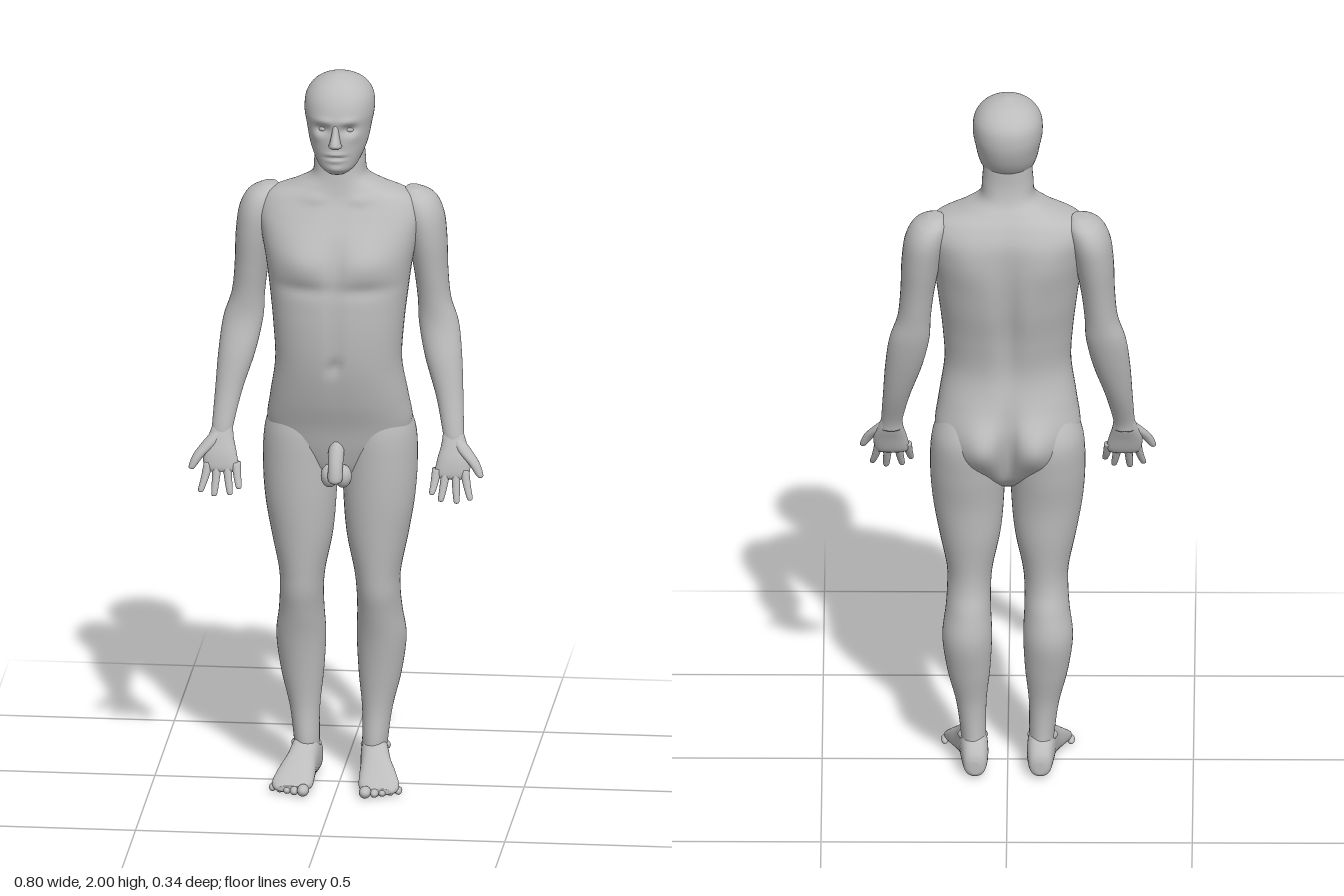
import * as THREE from 'three';

const skin = new THREE.MeshStandardMaterial({ color: 0xbcbcbc });
skin.name = 'plain grey';

const catmull = (a, b, c, d, u) =>
  0.5 * (2 * b + (c - a) * u + (2 * a - 5 * b + 4 * c - d) * u * u + (3 * b - a - 3 * c + d) * u * u * u);

// Smooth skin through rows [t, centre x, half width, depth max, depth min].
// Bumps [|x|, t, spread x, spread t, amount, side] push the depth in or out.
function loft(rows, { along = 'y', seg = 40, steps = 6, power = 2, bumps = [] } = {}) {
  const pos = [], idx = [], rings = [];
  for (let i = 0; i < rows.length - 1; i++) {
    const at = k => rows[Math.min(rows.length - 1, Math.max(0, i + k))];
    const last = i === rows.length - 2 ? 1 : 0;
    for (let s = 0; s < steps + last; s++) {
      rings.push(rows[0].map((_, c) => catmull(at(-1)[c], at(0)[c], at(1)[c], at(2)[c], s / steps)));
    }
  }
  const put = (x, d, t) => (along === 'y' ? pos.push(x, t, d) : pos.push(x, d, t));
  const shape = v => Math.sign(v) * Math.pow(Math.abs(v), 2 / power);
  for (const [t, cx, rx, hi, lo] of rings) {
    for (let j = 0; j < seg; j++) {
      const a = (j / seg) * Math.PI * 2, sn = Math.sin(a);
      const x = cx + rx * shape(Math.cos(a));
      let d = (hi + lo) / 2 + ((hi - lo) / 2) * shape(sn);
      for (const [bx, bt, sx, st, amount, side] of bumps) {
        const g = Math.exp(-(((Math.abs(x) - bx) / sx) ** 2) - ((t - bt) / st) ** 2);
        d += side * amount * g * Math.min(1, Math.max(0, side * sn * 2));
      }
      put(x, d, t);
    }
  }
  const n = rings.length;
  for (let i = 0; i < n - 1; i++) {
    for (let j = 0; j < seg; j++) {
      const a = i * seg + j, b = i * seg + ((j + 1) % seg);
      idx.push(a, a + seg, b, b, a + seg, b + seg);
    }
  }
  // Closed ends
  for (const i of [0, n - 1]) {
    const [t, cx, , hi, lo] = rings[i], c = pos.length / 3;
    put(cx, (hi + lo) / 2, t);
    for (let j = 0; j < seg; j++) {
      const a = i * seg + j, b = i * seg + ((j + 1) % seg);
      i === 0 ? idx.push(c, a, b) : idx.push(c, b, a);
    }
  }
  if (along !== 'y') idx.reverse();
  const g = new THREE.BufferGeometry();
  g.setAttribute('position', new THREE.Float32BufferAttribute(pos, 3));
  g.setIndex(idx);
  g.computeVertexNormals();
  return g;
}

function mirrored(geometry) {
  const g = geometry.clone();
  const p = g.attributes.position;
  for (let i = 0; i < p.count; i++) p.setX(i, -p.getX(i));
  g.setIndex(Array.from(g.index.array).reverse());
  g.computeVertexNormals();
  return g;
}

function ellipsoid(x, y, z, rx, ry, rz) {
  return new THREE.SphereGeometry(1, 20, 14).scale(rx, ry, rz).translate(x, y, z);
}

export function createModel() {
  const model = new THREE.Group();
  model.name = 'figure';
  const add = (name, geometry) => {
    const m = new THREE.Mesh(geometry, skin);
    m.name = name;
    model.add(m);
  };
  const pair = (name, geometry) => {
    add('left' + name, geometry);
    add('right' + name, mirrored(geometry));
  };

  // Torso and neck
  add('torso', loft([
    [0.85, 0, 0.03, 0.03, -0.06], [0.89, 0, 0.1, 0.06, -0.1], [0.95, 0, 0.175, 0.08, -0.125],
    [1.02, 0, 0.196, 0.098, -0.13], [1.1, 0, 0.186, 0.125, -0.12], [1.2, 0, 0.171, 0.148, -0.105],
    [1.3, 0, 0.176, 0.156, -0.118], [1.4, 0, 0.187, 0.153, -0.14], [1.48, 0, 0.198, 0.148, -0.15],
    [1.55, 0, 0.212, 0.125, -0.152], [1.61, 0, 0.22, 0.092, -0.148], [1.655, 0, 0.195, 0.068, -0.13],
    [1.685, 0, 0.125, 0.06, -0.11], [1.715, 0, 0.077, 0.055, -0.09], [1.76, 0, 0.069, 0.05, -0.08],
    [1.82, 0, 0.065, 0.05, -0.08],
  ], {
    seg: 72, steps: 8, power: 2.3, bumps: [
      [0.09, 1.5, 0.065, 0.05, 0.014, 1], [0, 1.5, 0.02, 0.08, -0.01, 1],   // chest
      [0.08, 1.425, 0.08, 0.02, -0.007, 1], [0, 1.3, 0.015, 0.13, -0.006, 1],
      [0, 1.21, 0.013, 0.02, -0.012, 1],                                    // navel
      [0.075, 1.0, 0.06, 0.075, 0.042, -1], [0, 0.98, 0.018, 0.09, -0.03, -1], // buttocks
      [0, 1.38, 0.028, 0.2, -0.022, -1], [0.11, 1.55, 0.06, 0.08, 0.01, -1],   // spine, shoulder blades
      [0.06, 1.66, 0.03, 0.015, 0.006, 1],                                  // collarbones
    ],
  }));

  // Head and face
  add('head', loft([
    [1.738, 0, 0.026, 0.088, 0.02], [1.755, 0, 0.048, 0.102, -0.01], [1.785, 0, 0.066, 0.107, -0.06],
    [1.82, 0, 0.079, 0.109, -0.092], [1.86, 0, 0.087, 0.11, -0.112], [1.9, 0, 0.094, 0.11, -0.121],
    [1.94, 0, 0.091, 0.097, -0.117], [1.97, 0, 0.073, 0.074, -0.095], [1.99, 0, 0.043, 0.042, -0.057],
    [2, 0, 0.008, 0.005, -0.012],
  ], {
    seg: 72, steps: 8, power: 2.15, bumps: [
      [0.036, 1.868, 0.018, 0.013, -0.014, 1], [0.03, 1.892, 0.028, 0.01, 0.005, 1], // eyes, brow
      [0.055, 1.845, 0.015, 0.015, 0.004, 1],                                  // cheeks
      [0, 1.8, 0.024, 0.006, 0.006, 1], [0, 1.79, 0.025, 0.003, -0.006, 1],    // lips
      [0, 1.781, 0.02, 0.006, 0.005, 1], [0, 1.757, 0.022, 0.012, 0.006, 1],   // chin
    ],
  }));
  add('nose', loft([
    [1.817, 0, 0.01, 0.12, 0.095], [1.825, 0, 0.018, 0.138, 0.09], [1.835, 0, 0.015, 0.142, 0.09],
    [1.86, 0, 0.01, 0.124, 0.09], [1.885, 0, 0.008, 0.11, 0.085],
  ], { seg: 20 }));
  pair('Eye', ellipsoid(0.034, 1.866, 0.083, 0.014, 0.009, 0.011));

  // Arms
  pair('Arm', loft([
    [0.975, 0.315, 0.028, 0.066, 0.022], [1.01, 0.312, 0.029, 0.063, 0.012], [1.1, 0.299, 0.037, 0.042, -0.03],
    [1.2, 0.28, 0.05, 0.024, -0.066], [1.29, 0.265, 0.054, 0.002, -0.09], [1.36, 0.252, 0.045, 0.002, -0.1],
    [1.44, 0.243, 0.046, 0.013, -0.112], [1.53, 0.233, 0.053, 0.026, -0.128], [1.6, 0.221, 0.056, 0.026, -0.134],
    [1.645, 0.207, 0.047, 0.008, -0.118], [1.668, 0.195, 0.02, -0.03, -0.08],
  ], { seg: 32 }));

  // Hands, palms forward with the thumbs outward
  pair('Palm', loft([
    [0.89, 0.312, 0.04, 0.092, 0.066], [0.905, 0.313, 0.047, 0.095, 0.057], [0.94, 0.317, 0.045, 0.088, 0.043],
    [0.975, 0.316, 0.035, 0.074, 0.028], [1.01, 0.312, 0.027, 0.058, 0.02],
  ], { seg: 28, power: 2.4 }));
  const fingers = [[0.272, 0.262, 0.85], [0.297, 0.286, 0.832], [0.323, 0.328, 0.828], [0.346, 0.364, 0.838]];
  fingers.forEach(([x0, x1, tip], i) => {
    const mid = (tip + 0.91) / 2, xm = (x0 + x1) / 2;
    pair('Finger' + (i + 1), loft([
      [tip, x1, 0.003, 0.112, 0.106], [tip + 0.006, x1, 0.008, 0.116, 0.099],
      [mid, xm, 0.0105, 0.105, 0.082], [0.915, x0, 0.013, 0.09, 0.062],
    ], { seg: 16, steps: 4 }));
  });
  pair('Thumb', loft([
    [0.898, 0.39, 0.004, 0.098, 0.088], [0.905, 0.389, 0.01, 0.102, 0.08], [0.935, 0.372, 0.016, 0.096, 0.066],
    [0.965, 0.345, 0.02, 0.083, 0.047], [0.995, 0.322, 0.016, 0.064, 0.035],
  ], { seg: 16, steps: 4 }));

  // Legs
  pair('Leg', loft([
    [0.03, 0.09, 0.03, 0, -0.1], [0.1, 0.092, 0.034, 0.012, -0.088], [0.2, 0.098, 0.041, 0.004, -0.09],
    [0.3, 0.105, 0.058, 0.012, -0.112], [0.4, 0.109, 0.067, 0.028, -0.13], [0.48, 0.106, 0.061, 0.048, -0.117],
    [0.54, 0.104, 0.059, 0.063, -0.099], [0.6, 0.102, 0.063, 0.069, -0.095], [0.7, 0.102, 0.083, 0.077, -0.105],
    [0.8, 0.106, 0.096, 0.083, -0.112], [0.9, 0.108, 0.101, 0.085, -0.128], [1, 0.106, 0.098, 0.083, -0.135],
    [1.08, 0.1, 0.075, 0.065, -0.1],
  ], { seg: 40 }));
  pair('Ankle', ellipsoid(0.094, 0.095, -0.04, 0.041, 0.02, 0.022));

  // Feet
  pair('Foot', loft([
    [-0.121, 0.088, 0.012, 0.05, 0.014], [-0.11, 0.088, 0.029, 0.075, 0.004], [-0.07, 0.089, 0.037, 0.11, 0],
    [-0.02, 0.094, 0.039, 0.125, 0.001], [0.02, 0.101, 0.042, 0.101, 0.003], [0.06, 0.11, 0.05, 0.073, 0.002],
    [0.1, 0.117, 0.055, 0.045, 0], [0.125, 0.119, 0.046, 0.031, 0.003], [0.135, 0.118, 0.035, 0.024, 0.007],
  ], { along: 'z', seg: 32, power: 2.4 }));
  for (let i = 0; i < 5; i++) {
    const r = i === 0 ? 0.016 : 0.0125 - i * 0.0006;
    pair('Toe' + (i + 1), ellipsoid(0.084 + i * 0.0205 + (i ? 0.004 : 0), r, 0.143 - i * 0.011, r, r, 0.026 - i * 0.001));
  }

  // Groin anatomy
  add('groinFront', loft([
    [0.875, 0, 0.006, 0.125, 0.11], [0.885, 0, 0.019, 0.136, 0.098], [0.92, 0, 0.02, 0.128, 0.085],
    [0.96, 0, 0.021, 0.108, 0.06], [0.985, 0, 0.012, 0.09, 0.05],
  ], { seg: 20 }));
  pair('GroinLower', ellipsoid(0.018, 0.888, 0.085, 0.024, 0.032, 0.026));

  return model;
}
